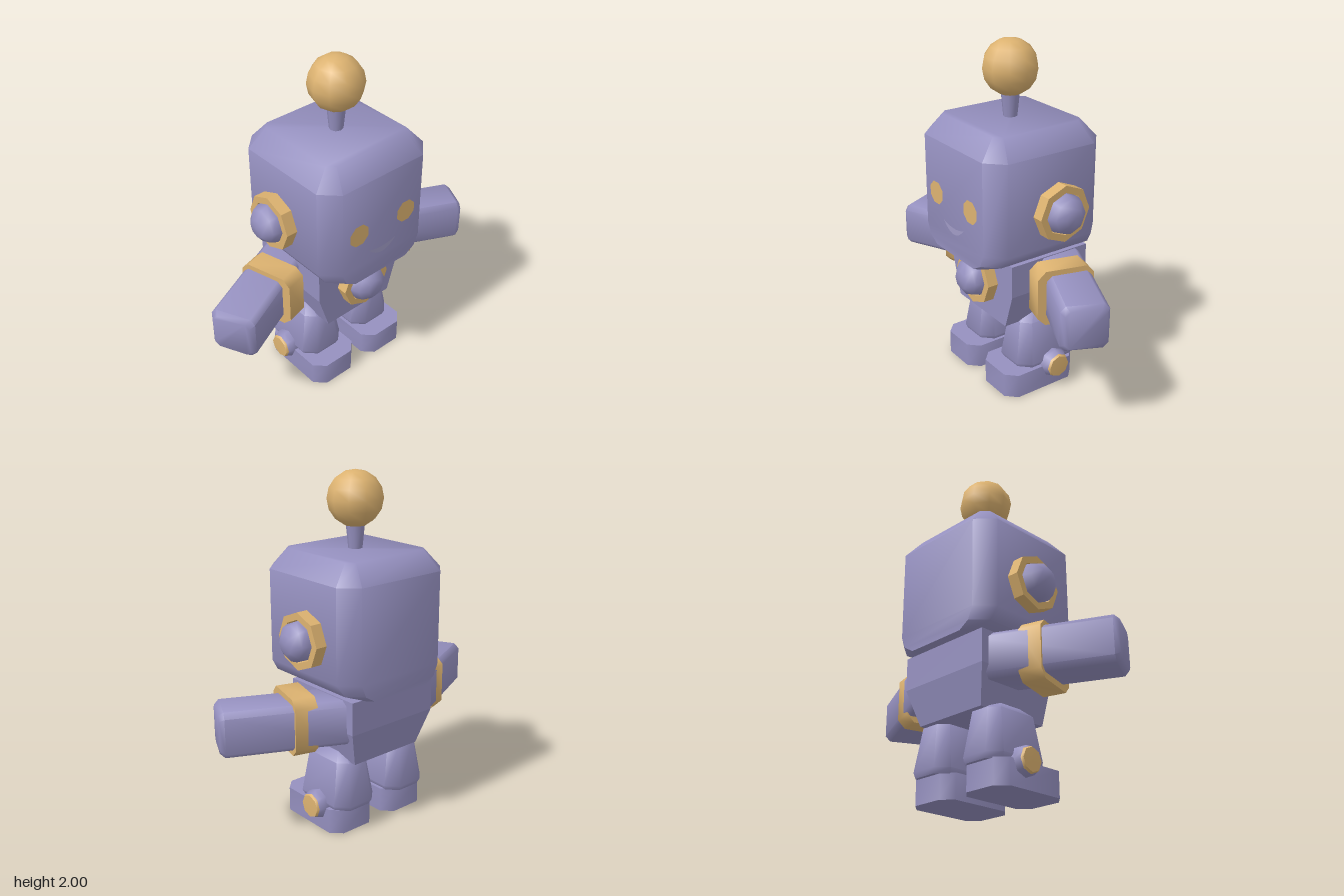
import * as THREE from 'three';
import { toCreasedNormals } from 'three/addons/utils/BufferGeometryUtils.js';

const mat = (name, color) => Object.assign(new THREE.MeshStandardMaterial({ color }), { name });

// Closed loft along y; each ring is [y, halfX, halfZ, cornerCut, centreX, centreZ]
function loft(rings, crease = 1) {
  const pos = [], idx = [];
  let n = 4;
  for (const [y, hx, hz, c = 0, cx = 0, cz = 0] of rings) {
    const loop = c
      ? [[hx, hz - c], [hx, c - hz], [hx - c, -hz], [c - hx, -hz], [-hx, c - hz], [-hx, hz - c], [c - hx, hz], [hx - c, hz]]
      : [[hx, hz], [hx, -hz], [-hx, -hz], [-hx, hz]];
    n = loop.length;
    for (const [x, z] of loop) pos.push(x + cx, y, z + cz);
  }
  for (let r = 0; r < rings.length - 1; r++) {
    for (let i = 0; i < n; i++) {
      const a = r * n + i, b = r * n + (i + 1) % n;
      idx.push(a, b, b + n, a, b + n, a + n);
    }
  }
  const top = (rings.length - 1) * n;
  for (let i = 1; i < n - 1; i++) idx.push(0, i + 1, i, top, top + i, top + i + 1);
  const g = new THREE.BufferGeometry();
  g.setAttribute('position', new THREE.Float32BufferAttribute(pos, 3));
  g.setIndex(idx);
  return toCreasedNormals(g, crease);
}

// Eight-sided turned part from [radius, height] points
const turned = (points, crease) =>
  toCreasedNormals(new THREE.LatheGeometry(points.map(p => new THREE.Vector2(...p)), 8), crease);

export function createModel() {
  const model = new THREE.Group();
  const body = mat('lavender body', 0x9590bf);
  const gold = mat('gold trim', 0xdcb270);
  const smile = mat('pale lavender', 0xa09bc5);

  function add(name, geometry, material, x = 0, y = 0, z = 0, parent = model) {
    const m = new THREE.Mesh(geometry, material);
    m.name = name;
    m.position.set(x, y, z);
    parent.add(m);
    return m;
  }

  // Head, with its underside tapering in from the sides
  add('head', loft([
    [0.82, 0.22, 0.378, 0.03], [0.86, 0.335, 0.378, 0.08], [0.93, 0.38, 0.378, 0.095],
    [1.46, 0.38, 0.378, 0.095], [1.57, 0.285, 0.285, 0.04],
  ]), body);

  // Antenna
  add('antennaStem', new THREE.CylinderGeometry(0.054, 0.038, 0.16, 8), body, 0, 1.635, 0);
  add('antennaBall', new THREE.SphereGeometry(0.157, 10, 8), gold, 0, 1.843, 0);

  // Mouth
  const mouth = new THREE.Shape();
  mouth.moveTo(-0.1, 1.01);
  mouth.quadraticCurveTo(0, 0.9, 0.1, 1.01);
  mouth.quadraticCurveTo(0, 0.975, -0.1, 1.01);
  add('mouth', new THREE.ShapeGeometry(mouth), smile, 0, 0, 0.382);

  // Torso
  add('torso', loft([
    [0.42, 0.235, 0.2325, 0, 0, -0.0325], [0.63, 0.3, 0.26, 0, 0, -0.06], [0.82, 0.3, 0.26, 0, 0, -0.06],
  ], 0.2), body);

  // Knob: gold ring around a dome, shared by the ears and the chest
  const ringGeo = turned([[0.163, 0], [0.163, 0.08], [0.122, 0.08], [0.115, 0.04]], 0.3);
  const domeGeo = turned([[0.115, 0.02], [0.115, 0.085], [0.1, 0.125], [0.055, 0.16], [0, 0.163]], 1.1);
  function knob(name, x, y, z) {
    const g = new THREE.Group();
    g.name = name;
    g.position.set(x, y, z);
    add(name + 'Ring', ringGeo, gold, 0, 0, 0, g);
    add(name + 'Dome', domeGeo, body, 0, 0, 0, g);
    model.add(g);
    return g;
  }
  knob('chestKnob', 0, 0.658, 0.185).rotation.x = Math.PI / 2;

  // Geometries shared by both sides
  const eyeGeo = new THREE.CircleGeometry(0.069, 8, Math.PI / 8);
  const armGeo = loft([
    [0, 0.13, 0.13, 0.03], [0.71, 0.13, 0.13, 0.03], [0.737, 0.108, 0.108, 0.025],
  ]);
  const cuffGeo = loft([[-0.065, 0.163, 0.163, 0.045], [0.065, 0.163, 0.163, 0.045]]);
  const legGeo = loft([
    [0.14, 0.13, 0.195, 0.06], [0.17, 0.145, 0.208, 0.065], [0.42, 0.105, 0.17, 0.05], [0.47, 0.05, 0.092, 0.025],
  ]);
  const footGeo = loft([[0, 0.155, 0.242, 0.06], [0.145, 0.155, 0.242, 0.06]], 0.9);
  const ankleGeo = turned([[0.085, 0], [0.085, 0.045], [0.068, 0.085], [0, 0.085]], 0.9);
  const ankleCapGeo = turned([[0.073, 0.075], [0.066, 0.089], [0, 0.092]], 0.9);

  for (const s of [1, -1]) {
    const side = s > 0 ? 'left' : 'right';
    const outward = -s * Math.PI / 2;

    add(side + 'Eye', eyeGeo, gold, s * 0.17, 1.148, 0.382);
    knob(side + 'Ear', s * 0.368, 1.13, -0.043).rotation.z = outward;

    // Arm swung forward, with a gold cuff
    add(side + 'Arm', armGeo, body, s * 0.195, 0.685, -0.178).rotation.set(0, -s * 0.447, outward);
    add(side + 'Cuff', cuffGeo, gold, s * 0.455, 0.683, -0.021).rotation.set(0, -s * 0.274, outward);

    // Leg, foot and ankle bolt
    add(side + 'Leg', legGeo, body, s * 0.193, 0, -0.062);
    add(side + 'Foot', footGeo, body, s * 0.196, 0, 0.007);
    add(side + 'AnkleBolt', ankleGeo, body, s * 0.312, 0.143, -0.065).rotation.z = outward;
    add(side + 'AnkleCap', ankleCapGeo, gold, s * 0.312, 0.143, -0.065).rotation.z = outward;
  }
  return model;
}
